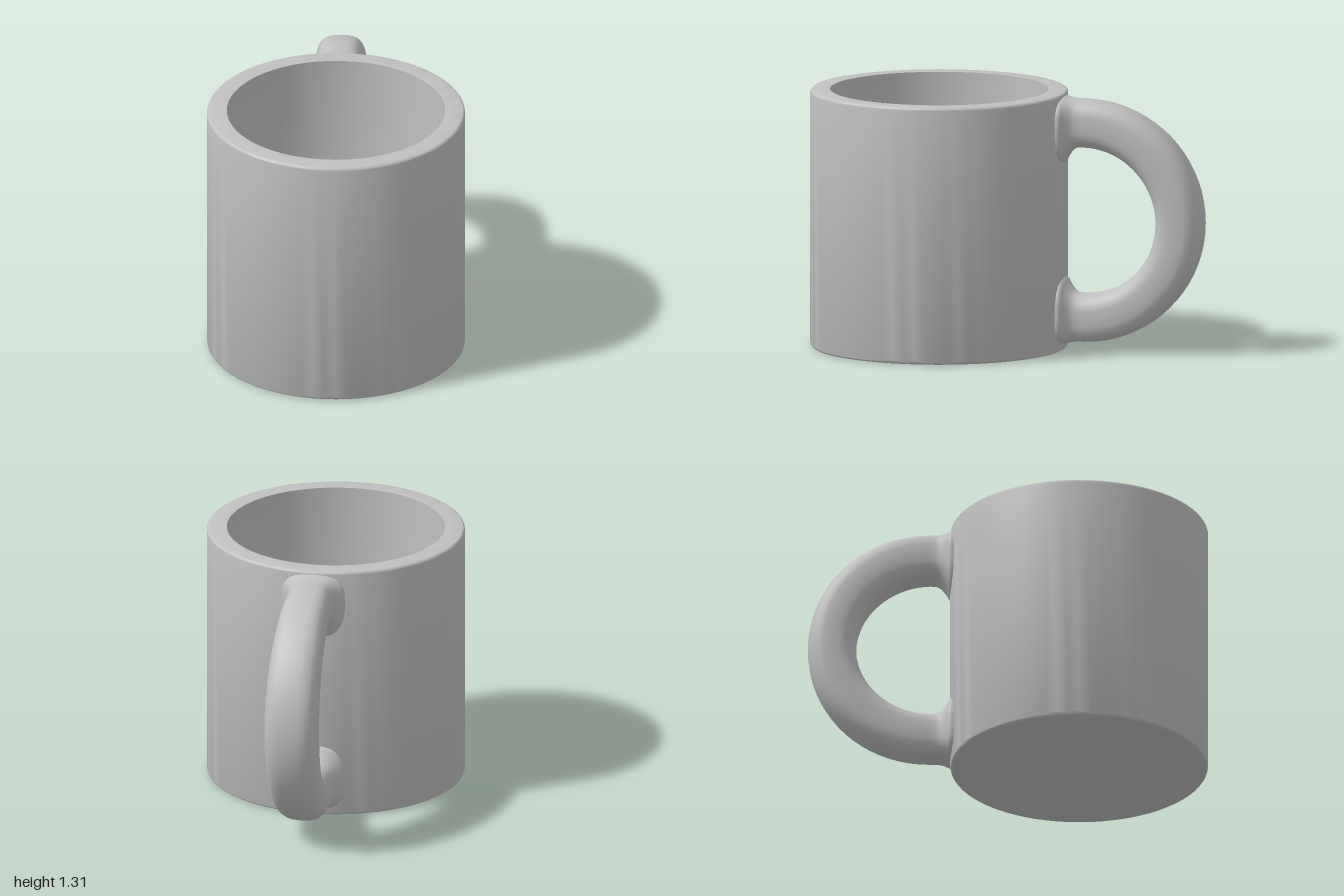
import * as THREE from 'three';
import { toCreasedNormals } from 'three/addons/utils/BufferGeometryUtils.js';

const R = 0.65, H = 1.31, INNER = 0.55, FLOOR = 0.1;

// Quarter-circle profile points, from angle a0 to a1 in degrees
function arc(cx, cy, r, a0, a1, n = 4) {
  return Array.from({ length: n + 1 }, (_, i) => {
    const a = THREE.MathUtils.degToRad(a0 + (a1 - a0) * i / n);
    return new THREE.Vector2(cx + r * Math.cos(a), cy + r * Math.sin(a));
  });
}

// Hollow cup: softened outer edges, crisp inner lip, rounded floor corner
function cupGeometry() {
  const profile = [
    new THREE.Vector2(0, 0),
    ...arc(R - 0.02, 0.02, 0.02, -90, 0),
    ...arc(R - 0.015, H - 0.015, 0.015, 0, 90),
    new THREE.Vector2(INNER, H),
    ...arc(INNER - 0.07, FLOOR + 0.07, 0.07, 0, -90),
    new THREE.Vector2(0, FLOOR),
  ];
  return toCreasedNormals(new THREE.LatheGeometry(profile, 72), 0.6);
}

// Handle: rounded-square section swept along a D path, flared where it meets the cup
function handleGeometry() {
  const midY = 0.665, radius = 0.495, startX = 0.75, sides = 28, steps = 36;
  const ends = [0.6, 0.64, 0.65, 0.66, 0.67, 0.685, 0.7, 0.72];
  const stations = [
    ...ends.map(x => ({ x, angle: Math.PI / 2 })),
    ...Array.from({ length: steps + 1 }, (_, i) => {
      const angle = Math.PI / 2 - Math.PI * i / steps;
      return { x: startX + radius * Math.cos(angle), angle };
    }),
    ...[...ends].reverse().map(x => ({ x, angle: -Math.PI / 2 })),
  ];
  const soft = v => Math.sign(v) * Math.pow(Math.abs(v), 0.72);
  const positions = [], indices = [];
  stations.forEach(({ x, angle }, j) => {
    const nx = Math.cos(angle), ny = Math.sin(angle);
    const y = midY + radius * ny;
    const near = Math.min(1, Math.max(0, 1 - (x - R) / 0.08));
    const flare = near * near;
    const halfWidth = 0.112 + 0.023 * nx + 0.05 * flare;
    for (let i = 0; i < sides; i++) {
      const t = i / sides * Math.PI * 2, c = soft(Math.cos(t));
      const p = c * (0.122 + flare * (c < 0 ? 0.08 : 0.012));
      positions.push(x + nx * p, y + ny * p, halfWidth * soft(Math.sin(t)));
      if (j < stations.length - 1) {
        const a = j * sides + i, b = j * sides + (i + 1) % sides;
        indices.push(a, b, a + sides, b, b + sides, a + sides);
      }
    }
  });
  const geometry = new THREE.BufferGeometry();
  geometry.setAttribute('position', new THREE.Float32BufferAttribute(positions, 3));
  geometry.setIndex(indices);
  geometry.computeVertexNormals();
  return geometry;
}

export function createModel() {
  const ceramic = new THREE.MeshStandardMaterial({ color: 0xc0c0c0 });
  ceramic.name = 'grey ceramic';

  const cup = new THREE.Mesh(cupGeometry(), ceramic);
  cup.name = 'cup';

  // The handle points to the back, turned slightly toward +x
  const handle = new THREE.Mesh(handleGeometry(), ceramic);
  handle.name = 'handle';
  handle.rotation.y = THREE.MathUtils.degToRad(90 - 11.3);

  const mug = new THREE.Group();
  mug.name = 'mug';
  mug.add(cup, handle);
  mug.position.z = 0.35;

  const model = new THREE.Group();
  model.add(mug);
  return model;
}
